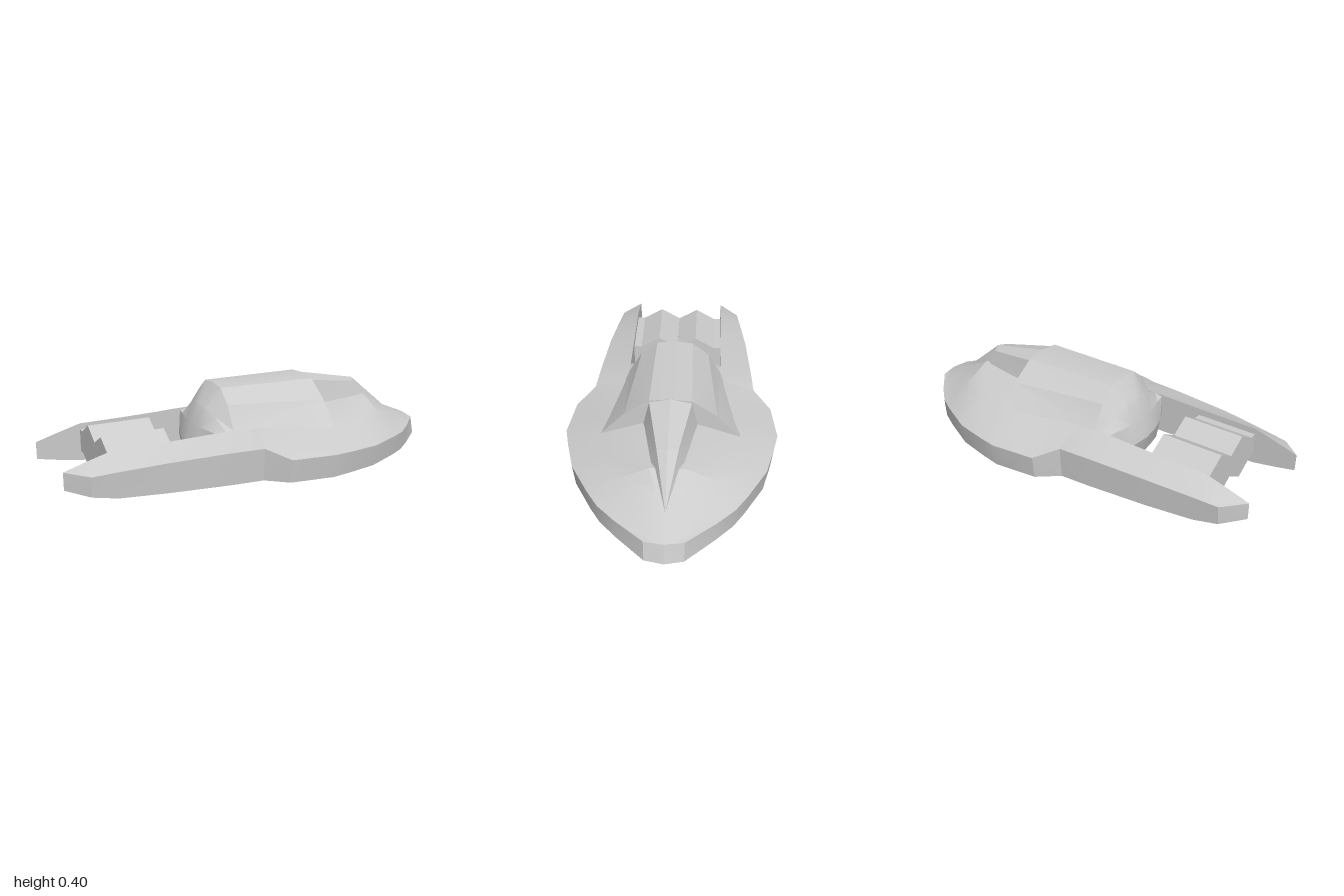
import * as THREE from 'three';
import { toCreasedNormals } from 'three/addons/utils/BufferGeometryUtils.js';

const grey = new THREE.MeshStandardMaterial({ color: 0xcccccc, side: THREE.DoubleSide });

// Skins cross-sections of [x, y, z] points given for the +z half, then mirrors them to -z.
function mirroredLoft(sections) {
  const pos = [];
  const triangle = (a, b, c) => {
    const area = new THREE.Triangle(
      new THREE.Vector3(...a), new THREE.Vector3(...b), new THREE.Vector3(...c)).getArea();
    if (area < 1e-7) return;
    pos.push(...a, ...b, ...c);
    for (const p of [a, c, b]) pos.push(p[0], p[1], -p[2]);
  };
  for (let i = 0; i < sections.length - 1; i++) {
    for (let j = 0; j < sections[i].length - 1; j++) {
      const a = sections[i][j], b = sections[i + 1][j];
      const c = sections[i + 1][j + 1], d = sections[i][j + 1];
      triangle(a, b, c);
      triangle(a, c, d);
    }
  }
  const geometry = new THREE.BufferGeometry();
  geometry.setAttribute('position', new THREE.Float32BufferAttribute(pos, 3));
  return toCreasedNormals(geometry, 0.35);
}

export function createModel() {
  const model = new THREE.Group();
  model.name = 'spacecraft';
  const add = (name, geometry) => {
    const mesh = new THREE.Mesh(geometry, grey);
    mesh.name = name;
    model.add(mesh);
    return mesh;
  };

  // Hull: x, rim z, rim y, shoulder z, shoulder y, foot z, foot y, forward shift of the keel
  const hull = [
    [-0.09, 0.405, 0.16, 0.25, 0.21, 0.13, 0.21, 0],
    [0.01, 0.49, 0.115, 0.265, 0.208, 0.13, 0.22, 0],
    [0.23, 0.515, 0.115, 0.31, 0.195, 0.13, 0.24, 0],
    [0.33, 0.495, 0.111, 0.34, 0.18, 0.13, 0.25, 0],
    [0.49, 0.455, 0.105, 0.29, 0.187, 0.10, 0.25, 0],
    [0.66, 0.365, 0.10, 0.21, 0.193, 0.08, 0.25, 0],
    [0.75, 0.31, 0.098, 0.16, 0.167, 0.05, 0.20, 0],
    [0.84, 0.225, 0.096, 0.12, 0.13, 0.03, 0.15, 0.005],
    [0.96, 0.09, 0.092, 0.05, 0.096, 0.02, 0.10, 0.02],
    [0.975, 0, 0.092, 0, 0.092, 0, 0.092, 0.025],
  ].map(([x, rz, ry, sz, sy, fz, fy, dx]) => [
    [x + dx, 0, 0], [x + dx, 0, rz * 0.97], [x, ry, rz], [x, sy, sz], [x, fy, fz], [x, fy, 0],
  ]);
  add('hull', mirroredLoft(hull));

  // Rear prongs: x, outer z, rim y, inner top y, bottom y
  const prongs = [
    [-1, 0.237, 0.135, 0.135, 0.05],
    [-0.9, 0.33, 0.127, 0.166, 0.03],
    [-0.78, 0.345, 0.137, 0.2, 0.01],
    [-0.55, 0.372, 0.152, 0.203, 0.005],
    [-0.25, 0.395, 0.16, 0.21, 0],
    [-0.09, 0.405, 0.16, 0.21, 0],
    [0.0, 0.405, 0.13, 0.2, 0.002],
  ].map(([x, oz, ry, ty, by]) => [
    [x, by, 0.235], [x, by, Math.max(0.235, oz * 0.97)], [x, ry, oz], [x, ty, 0.235], [x, by, 0.235],
  ]);
  add('rearProngs', mirroredLoft(prongs));

  // Cabin, closed at the front by the step face
  add('cabin', mirroredLoft([
    [[-0.17, 0.21, 0.235], [-0.17, 0.32, 0.17], [-0.17, 0.385, 0.09], [-0.17, 0.395, 0]],
    [[0.33, 0.18, 0.335], [0.33, 0.30, 0.22], [0.33, 0.38, 0.10], [0.33, 0.39, 0]],
    [[0.33, 0.18, 0], [0.33, 0.18, 0], [0.33, 0.18, 0], [0.33, 0.18, 0]],
  ]));

  // Faceted rear of the cabin: columns from the centre out, each from the keel up
  add('cabinRear', mirroredLoft([
    [[-0.05, 0, 0], [-0.29, 0, 0], [-0.315, 0.1, 0], [-0.285, 0.21, 0], [-0.25, 0.30, 0], [-0.17, 0.395, 0]],
    [[-0.05, 0, 0.09], [-0.28, 0, 0.09], [-0.305, 0.1, 0.09], [-0.28, 0.2, 0.09], [-0.245, 0.29, 0.07], [-0.17, 0.385, 0.09]],
    [[-0.05, 0, 0.17], [-0.265, 0, 0.17], [-0.28, 0.1, 0.18], [-0.26, 0.2, 0.18], [-0.225, 0.26, 0.15], [-0.17, 0.32, 0.17]],
    [[-0.05, 0, 0.24], [-0.23, 0, 0.237], [-0.25, 0.1, 0.237], [-0.25, 0.2, 0.235], [-0.21, 0.21, 0.235], [-0.17, 0.21, 0.235]],
  ]));

  // Narrow ridge ahead of the cabin, falling to a creased wedge
  add('noseRidge', mirroredLoft([
    [[0.33, 0.24, 0.13], [0.33, 0.37, 0.10], [0.33, 0.39, 0]],
    [[0.62, 0.24, 0.078], [0.61, 0.322, 0.05], [0.63, 0.33, 0]],
    [[0.84, 0.15, 0], [0.84, 0.15, 0], [0.84, 0.15, 0]],
  ]));

  // Twin hexagonal engines between the prongs
  for (const side of [1, -1]) {
    const engine = new THREE.CylinderGeometry(0.113, 0.113, 0.31, 6);
    engine.rotateY(Math.PI / 6).rotateZ(Math.PI / 2);
    add(side > 0 ? 'leftEngine' : 'rightEngine', toCreasedNormals(engine, 0.35))
      .position.set(-0.625, 0.114, side * 0.098);
    add('engineMount', new THREE.BoxGeometry(0.31, 0.112, 0.05))
      .position.set(-0.625, 0.114, side * 0.214);
  }
  return model;
}
